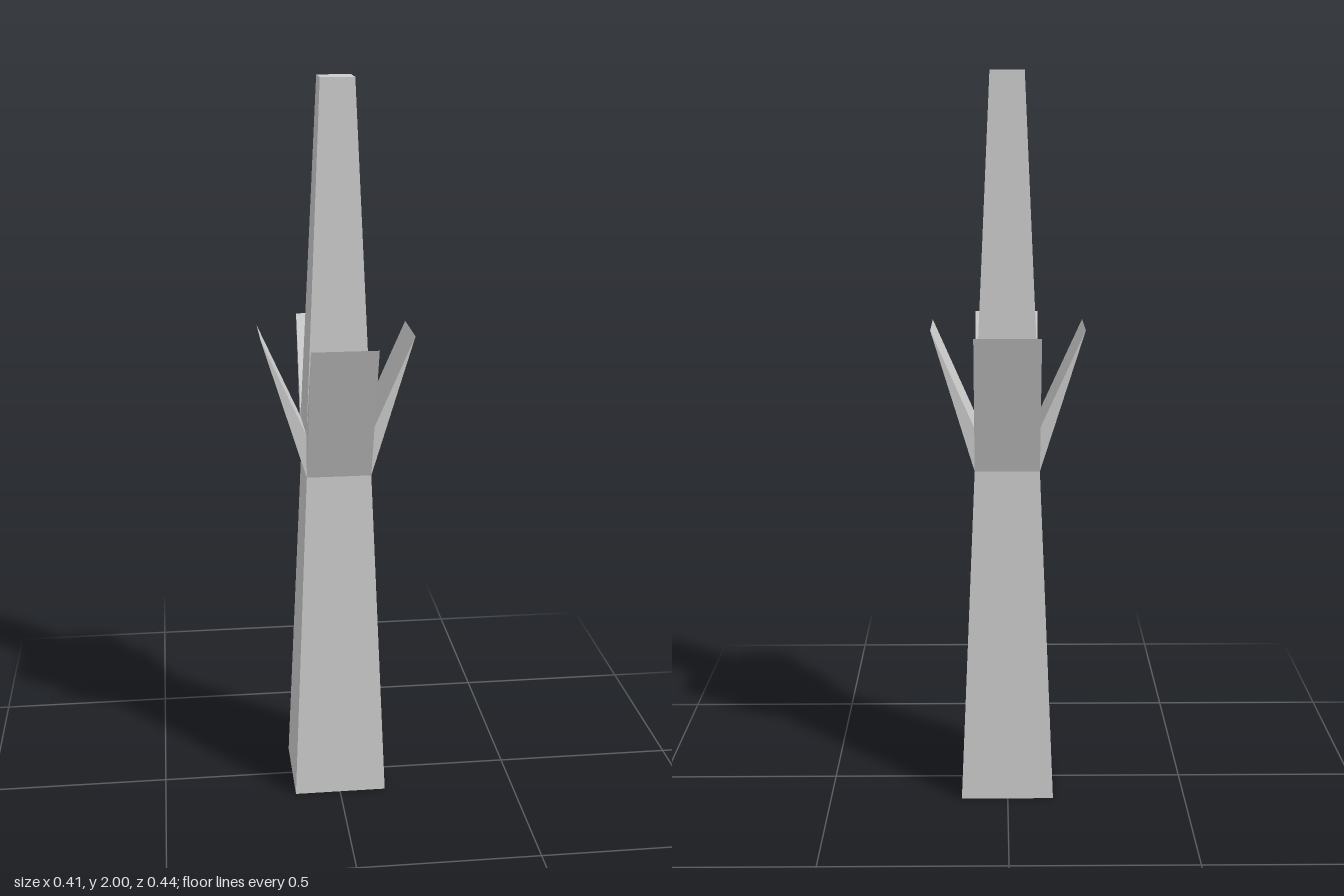
import * as THREE from 'three';

const HALF = 0.088;    // half width of the shaft at the collar
const COLLAR_LOW = 0.95;
const COLLAR_HIGH = 1.07;
const TIP_Y = 1.335;

export function createModel() {
  const group = new THREE.Group();
  group.name = 'squareSpire';
  const material = new THREE.MeshStandardMaterial({ color: 0xcccccc, flatShading: true });

  // Square tapering shaft: a four-sided lathe of half widths and heights
  const profile = [
    [0, 0], [0.129, 0], [HALF, COLLAR_LOW], [HALF, COLLAR_HIGH], [0.045, 2], [0, 2],
  ].map(([half, y]) => new THREE.Vector2(half * Math.SQRT2, y));
  const shaft = new THREE.Mesh(new THREE.LatheGeometry(profile, 4, Math.PI / 4), material);
  shaft.name = 'shaft';
  group.add(shaft);

  // Wedge-shaped leaves flaring from each side of the collar to a sharp edge
  const addLeaf = (name, turn, reach) => {
    const section = new THREE.Shape([
      new THREE.Vector2(HALF, COLLAR_LOW),
      new THREE.Vector2(reach, TIP_Y),
      new THREE.Vector2(HALF, COLLAR_HIGH),
    ]);
    const geometry = new THREE.ExtrudeGeometry(section, { depth: 2 * HALF, bevelEnabled: false });
    geometry.translate(0, 0, -HALF);
    const leaf = new THREE.Mesh(geometry, material);
    leaf.name = name;
    leaf.rotation.y = turn;
    group.add(leaf);
  };
  addLeaf('leftLeaf', 0, 0.203);
  addLeaf('backLeaf', Math.PI / 2, 0.211);
  addLeaf('rightLeaf', Math.PI, 0.207);
  addLeaf('frontLeaf', -Math.PI / 2, 0.226);

  // The uneven leaves put the shaft slightly off centre
  group.position.set(0.001, 0, -0.009);
  return group;
}
